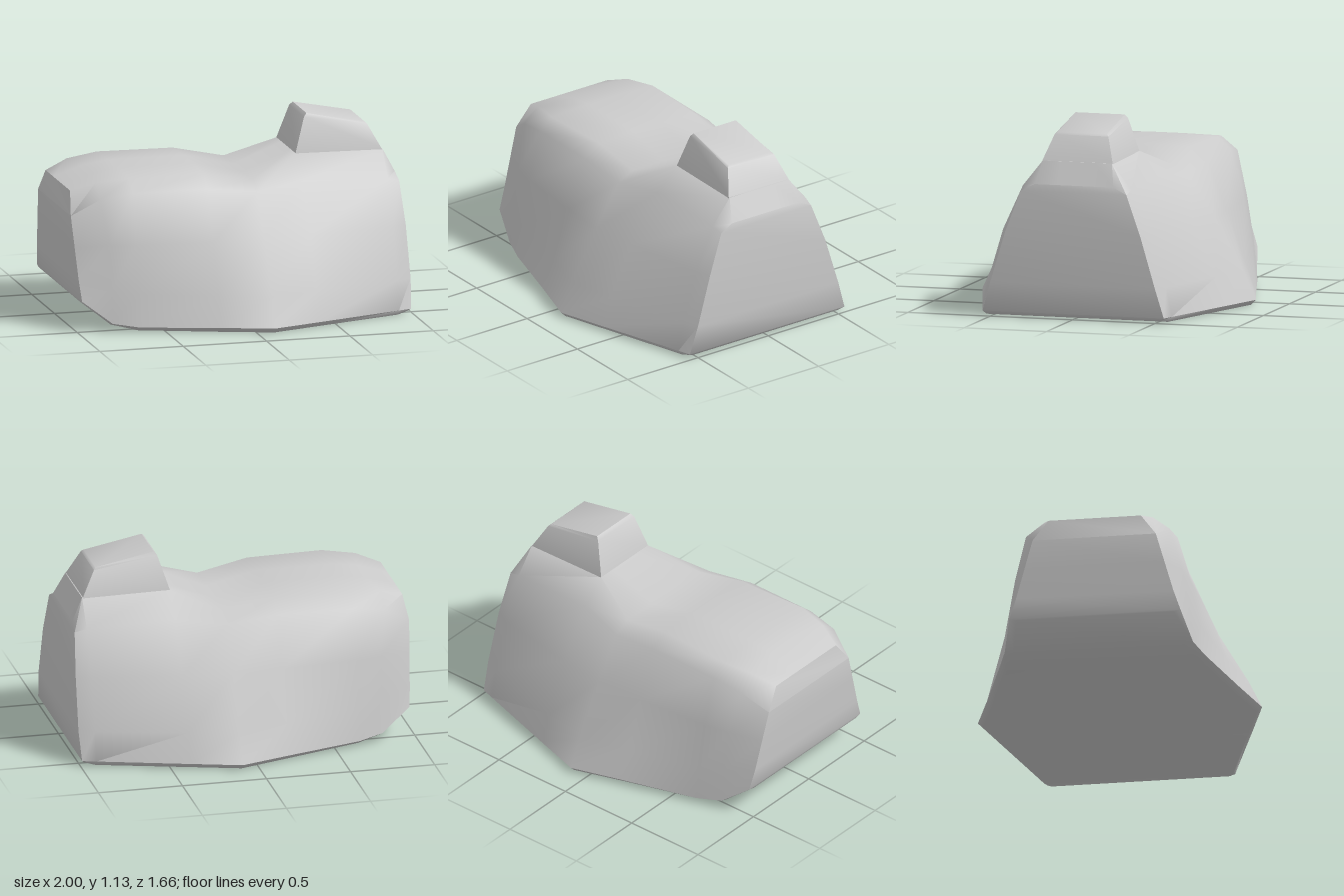
import * as THREE from 'three';
import { toCreasedNormals } from 'three/addons/utils/BufferGeometryUtils.js';

const material = new THREE.MeshStandardMaterial({ color: 0xcccccc });

// Skins a row of equal, even-sized rings and closes both ends with strips.
function loft(name, rings, crease) {
  const n = rings[0].length, index = [];
  const quad = (a, b, c, d) => index.push(a, b, c, a, c, d);
  for (let i = 0; i < rings.length - 1; i++) {
    for (let j = 0; j < n; j++) {
      const k = (j + 1) % n;
      quad(i * n + j, (i + 1) * n + j, (i + 1) * n + k, i * n + k);
    }
  }
  const last = (rings.length - 1) * n;
  for (let j = 0; j < n / 2 - 1; j++) {
    quad(j, j + 1, n - 2 - j, n - 1 - j);
    quad(last + n - 1 - j, last + n - 2 - j, last + j + 1, last + j);
  }
  const geometry = new THREE.BufferGeometry();
  geometry.setAttribute('position', new THREE.Float32BufferAttribute(rings.flat(2), 3));
  geometry.setIndex(index);
  const mesh = new THREE.Mesh(toCreasedNormals(geometry, crease), material);
  mesh.name = name;
  return mesh;
}

// Half section at x, from the underside up to the top: [z, y, optional x shift].
function section(x, half) {
  const side = half.map(([z, y, dx = 0]) => [x + dx, y, z]);
  return [...side, ...side.slice().reverse().map(([px, y, z]) => [px, y, -z])];
}

// Rectangular ring of the turret; y differs between its two x ends.
function rectangle(x0, x1, z, y0, y1) {
  return [[x1, y1, z], [x0, y0, z], [x0, y0, -z], [x1, y1, -z]];
}

export function createModel() {
  const group = new THREE.Group();
  group.name = 'model';

  // Body: hexagonal footprint, raised hump at -x, dip in the middle
  group.add(loft('body', [
    section(-0.97, [[0.46, 0.17], [0.5, 0.18], [0.46, 0.3, -0.01], [0.41, 0.48, -0.02], [0.36, 0.66, -0.03], [0.27, 0.79, -0.01], [0.1, 0.79, -0.01]]),
    section(-0.8, [[0.5, 0.035], [0.55, 0.05], [0.53, 0.25], [0.49, 0.5], [0.42, 0.76, -0.04], [0.32, 0.84, -0.04], [0.1, 0.85]]),
    section(-0.65, [[0.56, 0.005], [0.6, 0.03], [0.57, 0.22], [0.52, 0.5], [0.44, 0.79], [0.36, 0.86], [0.1, 0.87]]),
    section(-0.2, [[0.7, 0], [0.735, 0.03], [0.67, 0.2], [0.56, 0.5], [0.44, 0.79], [0.34, 0.86], [0.1, 0.87]]),
    section(0.1, [[0.8, 0], [0.83, 0.03], [0.75, 0.2], [0.58, 0.5], [0.42, 0.75], [0.32, 0.8], [0.1, 0.8]]),
    section(0.39, [[0.71, 0], [0.74, 0.03], [0.68, 0.2], [0.54, 0.5], [0.35, 0.78], [0.21, 0.915], [0.1, 0.915]]),
    section(0.91, [[0.55, 0], [0.575, 0.03], [0.54, 0.2], [0.45, 0.5], [0.33, 0.76], [0.21, 0.91], [0.1, 0.91]]),
    section(0.98, [[0.52, 0.01, -0.01], [0.55, 0.03, 0.01], [0.5, 0.2, 0.02], [0.41, 0.5, 0.015], [0.32, 0.74], [0.24, 0.78, -0.005], [0.1, 0.78, -0.005]]),
  ], 0.9));

  // Turret: tapered block with a sloping top and a narrow bevel
  group.add(loft('turret', [
    rectangle(0.385, 0.91, 0.215, 0.9, 0.9),
    rectangle(0.39, 0.9, 0.21, 0.92, 0.92),
    rectangle(0.452, 0.828, 0.163, 1.115, 1.055),
    rectangle(0.47, 0.815, 0.15, 1.135, 1.067),
  ], 0.9));

  return group;
}
